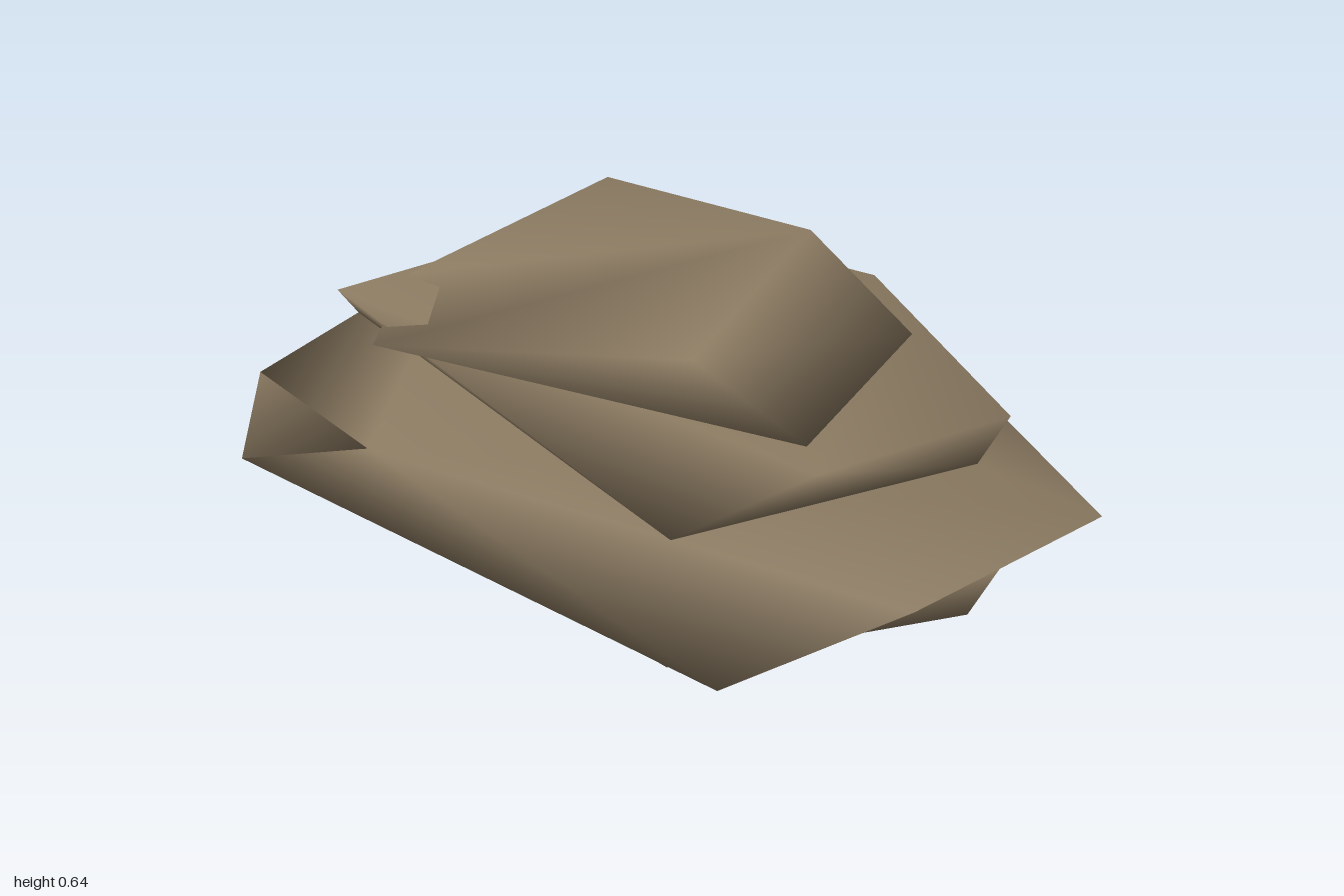
import * as THREE from 'three';
import { ConvexGeometry } from 'three/addons/geometries/ConvexGeometry.js';
import { mergeVertices } from 'three/addons/utils/BufferGeometryUtils.js';

// Convex slab wrapped around its lower and upper corners
function convexSlab(corners) {
  const hull = new ConvexGeometry(corners.map((c) => new THREE.Vector3(...c)));
  hull.deleteAttribute('normal');
  return mergeVertices(hull, 1e-4);
}

// Slab with a valley, so its triangles are given
function foldedSlab(corners, faces) {
  const geometry = new THREE.BufferGeometry();
  geometry.setAttribute('position', new THREE.Float32BufferAttribute(corners.flat(), 3));
  geometry.setIndex(faces.flat());
  return geometry;
}

export function createModel() {
  const stone = new THREE.MeshStandardMaterial({ color: 0x8c7b62 });
  stone.name = 'brown stone';

  const group = new THREE.Group();
  group.name = 'layeredRock';

  const slabs = {
    // Thin base
    baseSlab: convexSlab([
      [-0.94, 0.03, -0.29], [0.52, 0.04, 0.44], [0.74, 0, -0.2], [0.22, 0.05, -0.61],
      [-0.88, 0.15, -0.27], [-0.7, 0.11, 0.48], [0.81, 0.135, -0.21],
    ]),
    // Widest layer
    wideSlab: convexSlab([
      [-1, 0.155, -0.25], [-0.97, 0.155, 0.35], [-0.62, 0.15, 0.64], [0.73, 0.11, 0.51], [0.24, 0.12, -0.59],
      [-0.89, 0.345, -0.22], [-0.15, 0.34, 0.64], [1, 0.3, 0.28], [1, 0.3, -0.27], [0.3, 0.29, -0.64],
    ]),
    // Layer below the cap
    upperSlab: convexSlab([
      [-0.87, 0.31, -0.22], [-0.8, 0.31, 0.18], [0.54, 0.33, 0.45], [0.71, 0.32, -0.24], [-0.7, 0.315, -0.535],
      [-0.7, 0.415, -0.53], [-0.58, 0.49, 0.39], [0.69, 0.44, 0.21], [0.77, 0.44, -0.26], [0.16, 0.49, -0.53],
    ]),
    // Cap with a valley running from the back edge to the low right corner
    capStone: foldedSlab([
      [-0.42, 0.635, -0.26], [0.15, 0.645, -0.33], [0.59, 0.59, -0.16], [0.46, 0.635, 0.32],
      [0.64, 0.475, 0.19], [-0.35, 0.455, 0.47], [-0.57, 0.48, 0.2], [-0.42, 0.45, -0.28],
    ], [
      [0, 6, 1], [1, 6, 5], [1, 5, 3], [1, 3, 2],
      [2, 3, 4], [3, 5, 4], [0, 7, 6], [1, 7, 0], [1, 2, 7],
      [7, 2, 4], [7, 4, 5], [7, 5, 6],
    ]),
  };

  for (const [name, geometry] of Object.entries(slabs)) {
    geometry.computeVertexNormals();
    const mesh = new THREE.Mesh(geometry, stone);
    mesh.name = name;
    group.add(mesh);
  }
  return group;
}
